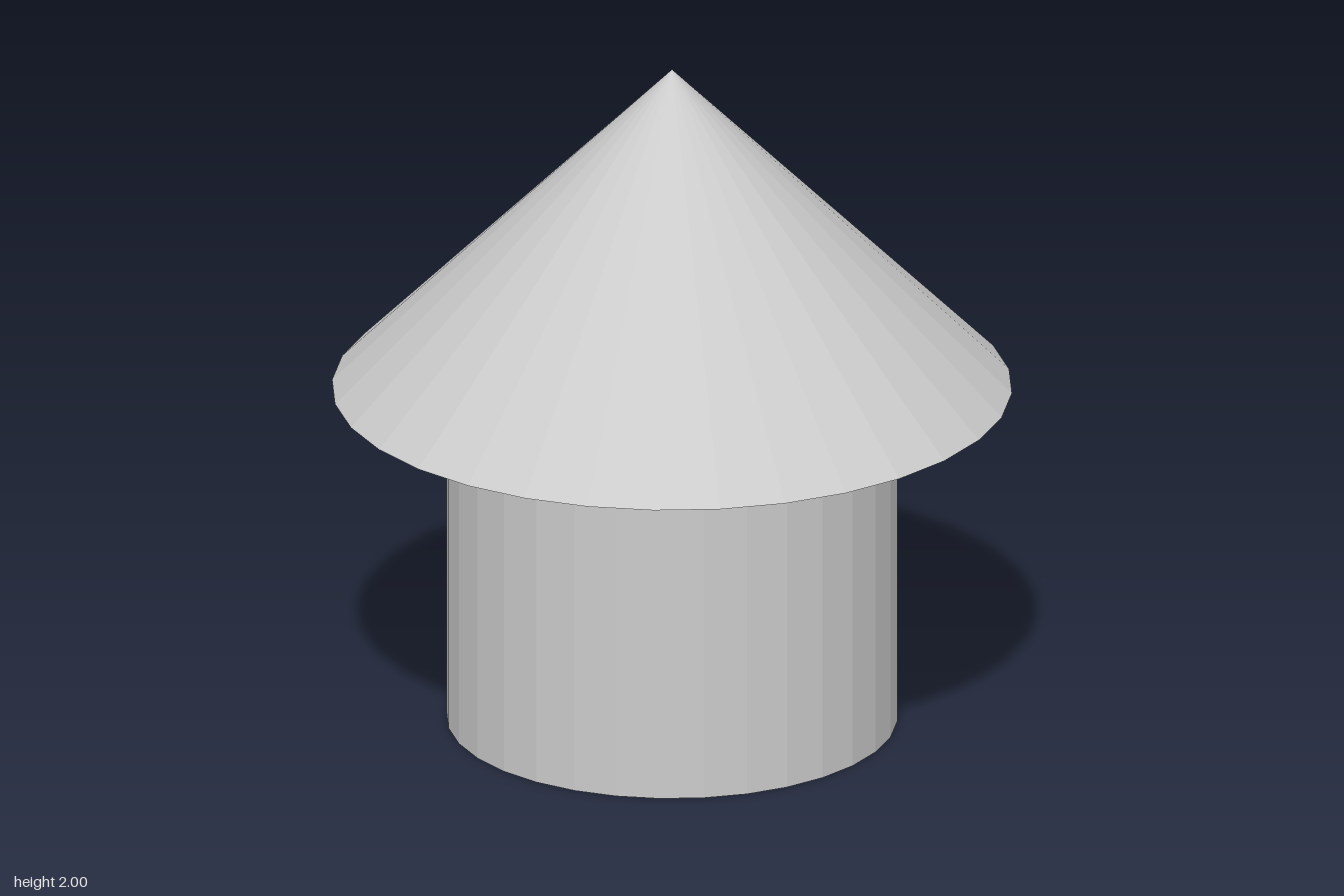
import * as THREE from 'three';

const SIDES = 32;
const WALL_HEIGHT = 1.02;
const ROOF_HEIGHT = 0.98;

export function createModel() {
  const model = new THREE.Group();
  model.name = 'roundHut';
  const material = new THREE.MeshStandardMaterial({ color: 0xcccccc, flatShading: true });

  const addPart = (name, geometry, y) => {
    const mesh = new THREE.Mesh(geometry, material);
    mesh.name = name;
    mesh.position.y = y;
    model.add(mesh);
  };

  // Round wall standing on the ground
  addPart('wall', new THREE.CylinderGeometry(0.65, 0.65, WALL_HEIGHT, SIDES), WALL_HEIGHT / 2);

  // Conical roof with overhanging eaves and a closed underside
  addPart('roof', new THREE.ConeGeometry(0.98, ROOF_HEIGHT, SIDES), WALL_HEIGHT + ROOF_HEIGHT / 2);

  return model;
}
